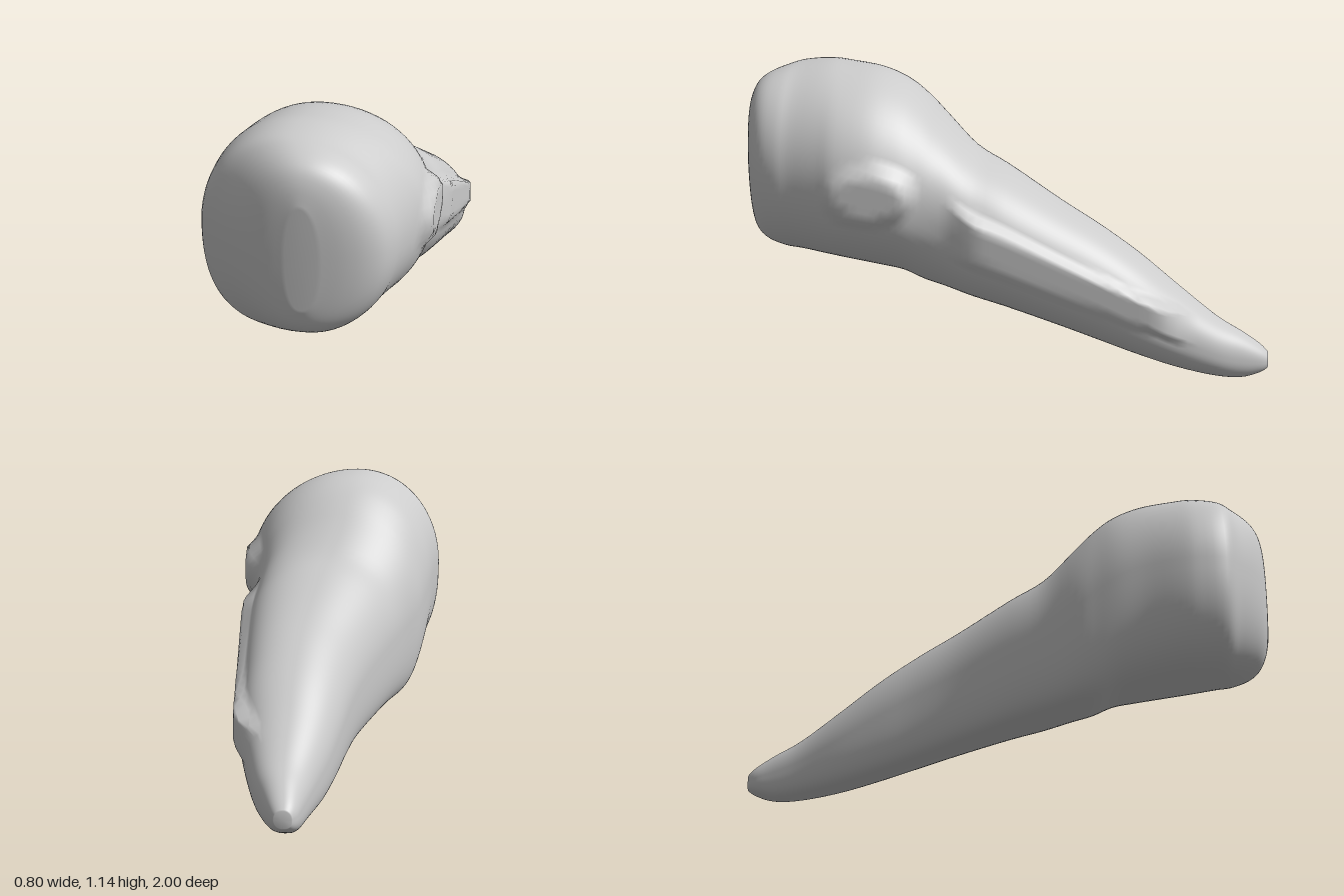
import * as THREE from 'three';

// Stations from tail to front: z, xMin, xMax, yMin, yMax, place of the lowest point across the width
const STATIONS = [
  [-1, 0.18, 0.24, 0.04, 0.1, 0.5],
  [-0.97, 0.16, 0.26, 0.02, 0.13, 0.48],
  [-0.9, 0.14, 0.29, 0, 0.18, 0.42],
  [-0.8, 0.11, 0.325, 0.005, 0.24, 0.36],
  [-0.65, 0.055, 0.36, 0.03, 0.355, 0.28],
  [-0.5, 0.01, 0.385, 0.07, 0.475, 0.23],
  [-0.35, -0.03, 0.388, 0.115, 0.575, 0.22],
  [-0.2, -0.08, 0.39, 0.16, 0.66, 0.22],
  [0, -0.17, 0.388, 0.21, 0.775, 0.22],
  [0.13, -0.23, 0.375, 0.235, 0.84, 0.23],
  [0.24, -0.295, 0.357, 0.255, 0.94, 0.24],
  [0.32, -0.325, 0.357, 0.275, 1.02, 0.26],
  [0.4, -0.35, 0.37, 0.315, 1.08, 0.29],
  [0.5, -0.37, 0.382, 0.34, 1.12, 0.32],
  [0.62, -0.395, 0.375, 0.36, 1.135, 0.34],
  [0.7, -0.4, 0.348, 0.37, 1.14, 0.36],
  [0.8, -0.385, 0.315, 0.39, 1.13, 0.4],
  [0.86, -0.32, 0.3, 0.41, 1.12, 0.43],
  [0.92, -0.25, 0.27, 0.44, 1.1, 0.46],
  [0.96, -0.19, 0.22, 0.47, 1.07, 0.48],
  [0.985, -0.13, 0.15, 0.51, 1.02, 0.5],
  [1, -0.05, 0.06, 0.57, 0.95, 0.5],
];
const SIDES = 80, STEPS = 4;
const { lerp, smoothstep } = THREE.MathUtils;

// Smooth interpolation of one station value
function spline(a, b, c, d, t) {
  return b + 0.5 * t * (c - a + t * (2 * a - 5 * b + 4 * c - d + t * (3 * (b - c) + d - a)));
}

function sectionAt(u) {
  const n = STATIONS.length - 1;
  const i = Math.min(Math.floor(u), n - 1);
  const at = (k) => STATIONS[Math.max(0, Math.min(n, k))];
  return at(i).map((_, k) => spline(at(i - 1)[k], at(i)[k], at(i + 1)[k], at(i + 2)[k], u - i));
}

// Two flat raised patches on the left flank: a disc on the head, a band on the tail
function flankPatch(y, z) {
  const disc = Math.hypot((z - 0.5) / 0.17, (y - 0.75) / 0.11);
  const band = Math.max(Math.abs(z + 0.24) / 0.42, Math.abs(y - 0.54 - 0.42 * z) / (0.09 + 0.05 * z));
  return 1 - smoothstep(Math.min(disc, band), 0.75, 1.1);
}

// Section point: each quadrant has its own fullness, fading from tail to head
function sectionPoint([z, x0, x1, y0, y1, lowest], angle) {
  const c = Math.cos(angle), s = Math.sin(angle);
  const head = smoothstep(z, 0.1, 0.5);
  let power = 2.05;
  if (s < 0) power = c < 0 ? lerp(3, 2.5, head) : 2.15;
  else if (c > 0) power = lerp(2.45, 2.05, head);
  const centre = lerp(x0, x1, s < 0 ? lowest : 0.46);
  const y = (y0 + y1) / 2 + (Math.sign(s) * Math.abs(s) ** (2 / power) * (y1 - y0)) / 2;
  const x = lerp(centre, c < 0 ? x0 : x1, Math.abs(c) ** (2 / power));
  return [x > 0.25 ? lerp(x, 0.4, flankPatch(y, z)) : x, y, z];
}

function bodyGeometry() {
  const pos = [], index = [];
  const rings = (STATIONS.length - 1) * STEPS + 1;
  for (let i = 0; i < rings; i++) {
    const section = sectionAt(i / STEPS);
    for (let j = 0; j < SIDES; j++) {
      pos.push(...sectionPoint(section, (j / SIDES) * Math.PI * 2));
    }
  }
  for (let i = 0; i < rings - 1; i++) {
    for (let j = 0; j < SIDES; j++) {
      const k = (j + 1) % SIDES;
      const a = i * SIDES + j, b = i * SIDES + k;
      index.push(a, b, a + SIDES, b, b + SIDES, a + SIDES);
    }
  }
  // Close the tail tip and the blunt front
  for (const front of [false, true]) {
    const [z, x0, x1, y0, y1] = STATIONS[front ? STATIONS.length - 1 : 0];
    const centre = pos.length / 3;
    pos.push((x0 + x1) / 2, (y0 + y1) / 2, z);
    const base = front ? (rings - 1) * SIDES : 0;
    for (let j = 0; j < SIDES; j++) {
      const a = base + j, b = base + ((j + 1) % SIDES);
      if (front) index.push(centre, a, b);
      else index.push(centre, b, a);
    }
  }
  const geometry = new THREE.BufferGeometry();
  geometry.setAttribute('position', new THREE.Float32BufferAttribute(pos, 3));
  geometry.setIndex(index);
  geometry.computeVertexNormals();
  return geometry;
}

export function createModel() {
  const group = new THREE.Group();
  const body = new THREE.Mesh(bodyGeometry(), new THREE.MeshStandardMaterial({ color: 0xcccccc }));
  body.name = 'taperedBody';
  group.add(body);
  return group;
}
